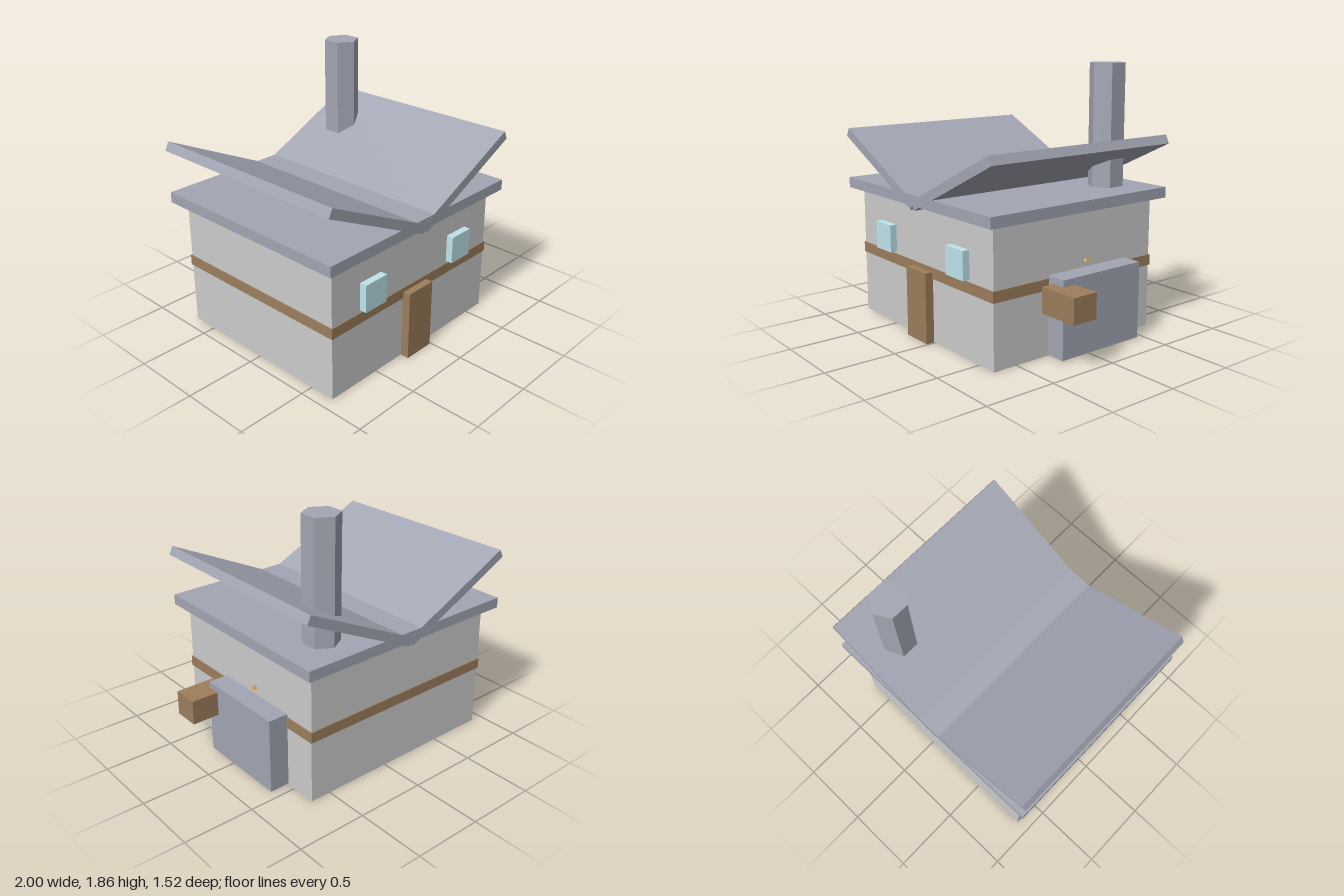
import * as THREE from 'three';

const mat = (color) => new THREE.MeshStandardMaterial({ color, flatShading: true });

export function createModel() {
  const group = new THREE.Group();
  const plaster = mat(0xcccccc);
  const slate = mat(0xa3a6b3);
  const wood = mat(0x9c7e5c);
  const glass = mat(0xbfe4ec);
  const copper = mat(0xc08a45);

  const add = (name, geometry, material, x = 0, y = 0, z = 0) => {
    const mesh = new THREE.Mesh(geometry, material);
    mesh.name = name;
    mesh.position.set(x, y, z);
    group.add(mesh);
    return mesh;
  };
  // Box given by its extents along each axis
  const box = (name, material, [x0, x1], [y0, y1], [z0, z1]) =>
    add(name, new THREE.BoxGeometry(x1 - x0, y1 - y0, z1 - z0), material,
      (x0 + x1) / 2, (y0 + y1) / 2, (z0 + z1) / 2);

  // House body, timber belt and flat roof slab
  box('walls', plaster, [-0.91, 0.655], [0.003, 0.94], [-0.685, 0.685]);
  box('timberBelt', wood, [-0.917, 0.663], [0.45, 0.525], [-0.693, 0.693]);
  box('roofSlab', slate, [-0.99, 0.73], [0.935, 1.01], [-0.76, 0.76]);

  // Two tilted roof panels crossing at the valley
  const valley = -0.128, length = 0.948, thickness = 0.065, tilt = 0.447;
  for (const side of [-1, 1]) {
    const panel = add(side > 0 ? 'leftRoofPanel' : 'rightRoofPanel',
      new THREE.BoxGeometry(length, thickness, 1.522), slate,
      valley + side * 0.431, 1.139, 0);
    panel.rotation.z = side * tilt;
  }

  // Hexagonal chimney with corners pointing front and back
  add('chimney', new THREE.CylinderGeometry(0.126, 0.126, 0.9, 6), slate, 0.41, 1.41, -0.49);

  // Front door and windows
  box('door', wood, [-0.245, -0.01], [0, 0.495], [0.66, 0.745]);
  for (const x of [-0.562, 0.31])
    box('window', glass, [x - 0.097, x + 0.097], [0.54, 0.735], [0.66, 0.735]);

  // Side hearth block and the crate beside it
  box('hearthBlock', slate, [0.6, 0.8], [0.01, 0.545], [-0.44, 0.245]);
  box('crate', wood, [0.705, 1.0], [0.325, 0.5], [0.15, 0.34]);

  // Small peg poking out of the side wall
  add('wallPeg', new THREE.ConeGeometry(0.047, 0.05, 6), copper, 0.632, 0.61, -0.095);

  // Corner posts and barrel inside, showing in the underside
  for (const x of [-0.88, 0.625])
    for (const z of [-0.655, 0.655])
      box('cornerPost', wood, [x - 0.025, x + 0.025], [0, 0.9], [z - 0.025, z + 0.025]);
  add('barrel', new THREE.CylinderGeometry(0.18, 0.18, 0.35, 8), wood, -0.65, 0.175, 0.37);

  return group;
}
